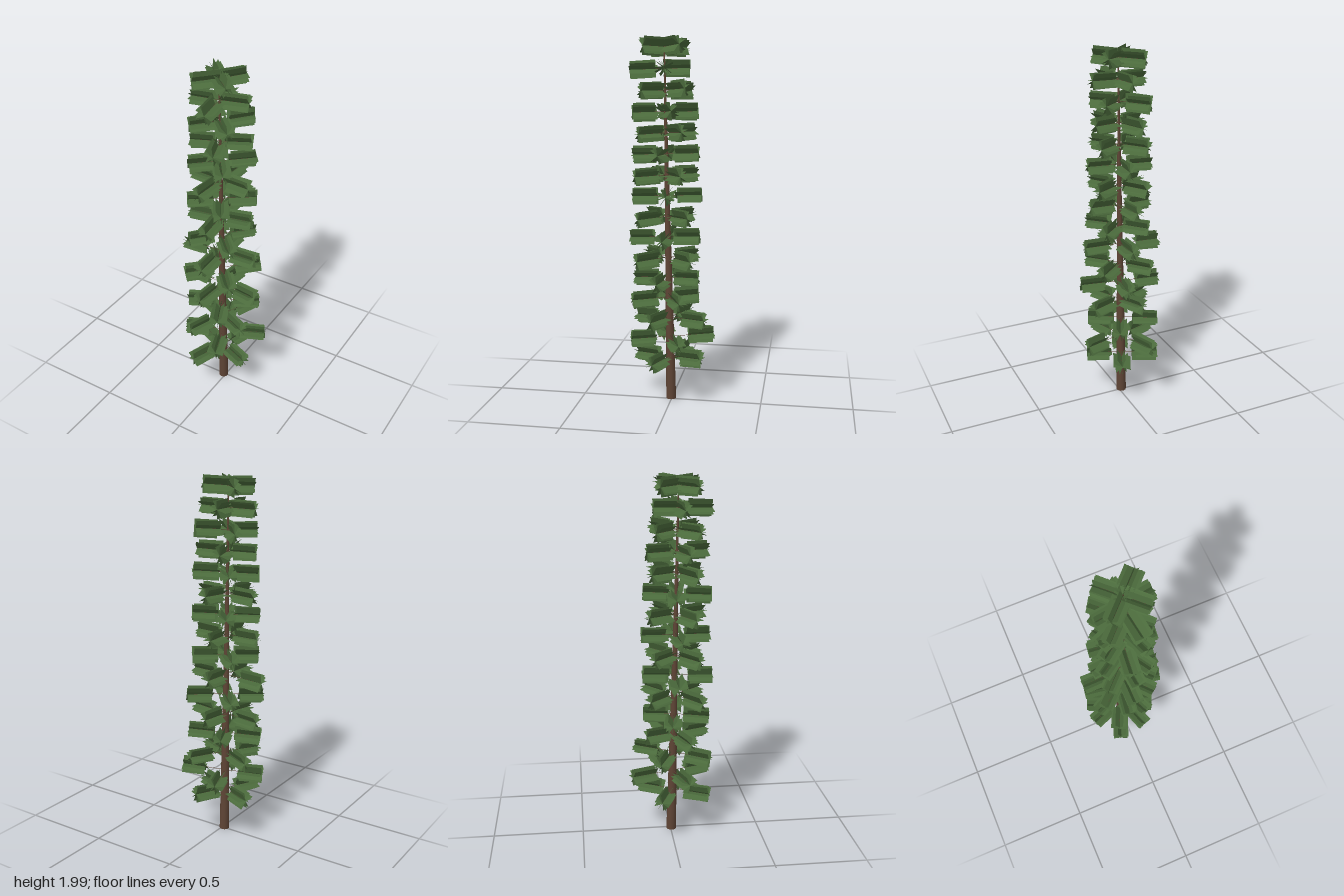
import * as THREE from 'three';
import { mergeGeometries } from 'three/addons/utils/BufferGeometryUtils.js';

// small seeded jitter in -1..1
let seed = 11;
const jitter = () => {
  seed = (seed * 16807) % 2147483647;
  return (seed / 2147483647) * 2 - 1;
};

const HEIGHT = 1.95;
const CARDS = 6;
// tiers from the bottom up: turn in degrees, reach of the left, back, right and front arms
const TIERS = [
  [-22, 0.20, 0.20, 0.21, 0.22],
  [20, 0.25, 0.25, 0.22, 0.22],
  [-25, 0.19, 0.23, 0.21, 0.22],
  [24, 0.21, 0.17, 0.20, 0.21],
  [-8, 0.23, 0.17, 0.22, 0.20],
  [42, 0.22, 0.19, 0.21, 0.21],
  [0, 0.21, 0.18, 0.23, 0.21],
  [44, 0.19, 0.17, 0.18, 0.20],
  [6, 0.18, 0.19, 0.19, 0.19],
  [32, 0.19, 0.18, 0.18, 0.19],
  [-6, 0.18, 0.18, 0.18, 0.19],
  [36, 0.19, 0.18, 0.17, 0.17],
  [20, 0.17, 0.18, 0.16, 0.18],
  [45, 0.18, 0.18, 0.16, 0.16],
  [8, 0.16, 0.14, 0.16, 0.19],
  [45, 0.14, 0.15, 0.14, 0.14],
];

// centre line of the slightly leaning trunk
const trunkAt = (y) => new THREE.Vector3(-0.013, y, 0.004 + 0.019 * y);

function makeTrunk(material) {
  const geo = new THREE.CylinderGeometry(0.003, 0.028, HEIGHT, 10, 14);
  geo.translate(0, HEIGHT / 2, 0);
  const p = geo.attributes.position;
  for (let i = 0; i < p.count; i++) {
    const c = trunkAt(p.getY(i));
    p.setX(i, p.getX(i) + c.x);
    p.setZ(i, p.getZ(i) + c.z);
  }
  geo.computeVertexNormals();
  const trunk = new THREE.Mesh(geo, material);
  trunk.name = 'trunk';
  return trunk;
}

// flat cards crossed around a branch that runs along +x
function clusterGeometry(reach) {
  const cards = [];
  for (let i = 0; i < CARDS; i++) {
    const length = 0.13 + 0.012 * jitter();
    const width = 0.092 + 0.01 * jitter();
    const card = new THREE.PlaneGeometry(length, width);
    card.rotateZ(0.04 * jitter());
    card.translate(reach - length / 2 - 0.006 + 0.006 * jitter(), 0, 0);
    card.rotateX((i + 0.35 * jitter()) * Math.PI / CARDS);
    cards.push(card);
  }
  return mergeGeometries(cards);
}

function makeArm(reach, leaf, bark) {
  const arm = new THREE.Group();
  arm.name = 'branch';

  const needles = new THREE.Mesh(clusterGeometry(reach), leaf);
  needles.name = 'leafCluster';

  const twigGeo = new THREE.CylinderGeometry(0.001, 0.0015, reach * 0.8, 4);
  twigGeo.rotateZ(-Math.PI / 2);
  twigGeo.translate(reach * 0.4, 0, 0);
  const twig = new THREE.Mesh(twigGeo, bark);
  twig.name = 'twig';

  arm.add(needles, twig);
  return arm;
}

export function createModel() {
  const tree = new THREE.Group();
  tree.name = 'tree';
  const bark = new THREE.MeshStandardMaterial({ color: 0x5e4435 });
  const leaf = new THREE.MeshStandardMaterial({ color: 0x4b6b3c, side: THREE.DoubleSide });

  tree.add(makeTrunk(bark));

  TIERS.forEach(([degrees, ...reaches], t) => {
    const tier = new THREE.Group();
    tier.name = 'tier' + (t + 1);
    tier.position.copy(trunkAt(0.246 + t * 0.1128));

    reaches.forEach((reach, k) => {
      const arm = makeArm(reach, leaf, bark);
      const turn = THREE.MathUtils.degToRad(degrees + 90 * k);
      // arms facing left and back rise a little, the others dip
      const pitch = 0.06 * Math.sin(turn + Math.PI / 4) + 0.03 * jitter();
      arm.rotation.set(0, turn, pitch, 'YXZ');
      tier.add(arm);
    });
    tree.add(tier);
  });
  return tree;
}
